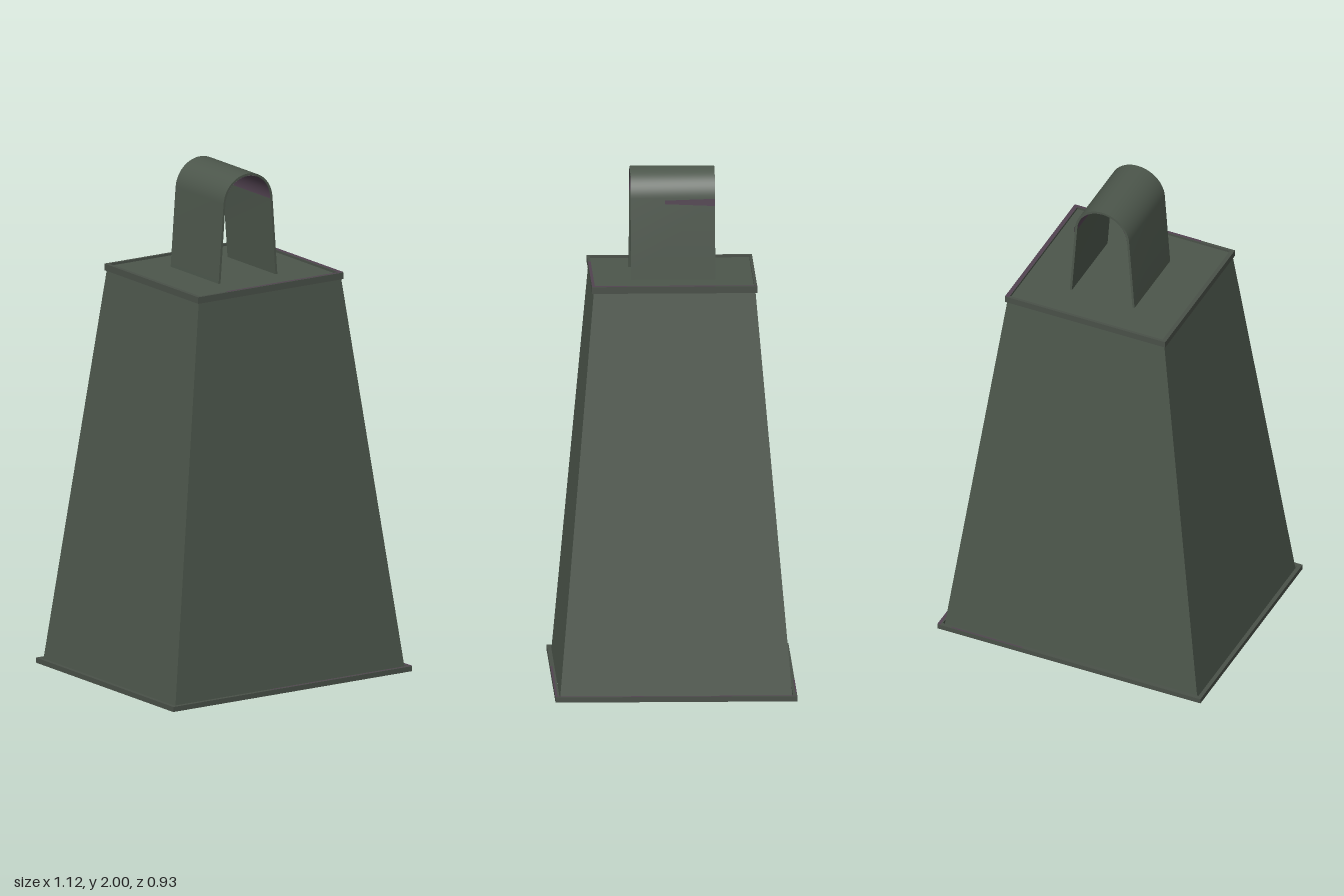
import * as THREE from 'three';
import { toCreasedNormals } from 'three/addons/utils/BufferGeometryUtils.js';

const BOTTOM = { x: 0.538, z: 0.449, y: 0.008 };
const TOP = { x: 0.332, z: 0.311, y: 1.58 };

// Four-sided tapered shell, open at the bottom
function taperedShell(inset, inward) {
  const g = new THREE.BoxGeometry(2, 1, 2);
  const p = g.attributes.position;
  for (let i = 0; i < p.count; i++) {
    const up = p.getY(i) > 0;
    const end = up ? TOP : BOTTOM;
    p.setXYZ(i, p.getX(i) * (end.x - inset), up ? end.y - inset : end.y, p.getZ(i) * (end.z - inset));
  }
  const index = Array.from(g.index.array);
  index.splice(18, 6); // drop the bottom side
  g.setIndex(index);
  g.clearGroups();
  if (inward) g.scale(-1, 1, 1);
  g.computeVertexNormals();
  return g;
}

// Rectangular frame lying flat, from y to y + height
function frame(x, z, wx, wz, y, height) {
  const rect = (path, a, b) => path.moveTo(-a, -b).lineTo(a, -b).lineTo(a, b).lineTo(-a, b).closePath();
  const s = rect(new THREE.Shape(), x, z);
  s.holes.push(rect(new THREE.Path(), x - wx, z - wz));
  const g = new THREE.ExtrudeGeometry(s, { depth: height, bevelEnabled: false });
  return g.rotateX(-Math.PI / 2).translate(0, y, 0);
}

// Arched strap outline with splayed legs
function handleGeometry() {
  const cy = 1.885, outer = 0.115, t = 0.009, n = 28, tilt = 0.075;
  const arch = (r, foot) => {
    const pts = [new THREE.Vector2(foot, 1.578)];
    for (let i = 0; i <= n; i++) {
      const a = tilt + (Math.PI - 2 * tilt) * i / n;
      pts.push(new THREE.Vector2(Math.cos(a) * r, cy + Math.sin(a) * r));
    }
    pts.push(new THREE.Vector2(-foot, 1.578));
    return pts;
  };
  const shape = new THREE.Shape([...arch(outer, 0.138), ...arch(outer - t, 0.129).reverse()]);
  const g = new THREE.ExtrudeGeometry(shape, { depth: 0.326, bevelEnabled: false });
  return toCreasedNormals(g.translate(0, 0, -0.163), 0.5);
}

// Flat four-cornered face
function quad(a, b, c, d) {
  const g = new THREE.BufferGeometry();
  g.setAttribute('position', new THREE.Float32BufferAttribute([...a, ...b, ...c, ...d], 3));
  g.setIndex([0, 1, 2, 0, 2, 3]);
  g.computeVertexNormals();
  return g;
}

export function createModel() {
  const group = new THREE.Group();
  const material = (name, color, side = THREE.FrontSide) => {
    const m = new THREE.MeshStandardMaterial({ color, side });
    m.name = name;
    return m;
  };
  const green = material('greyGreenMetal', 0x4c564b);
  const rimGreen = material('rimMetal', 0x495048);
  const mauve = material('mauveMetal', 0x4e464d, THREE.DoubleSide);
  const violet = material('violetTint', 0x514250, THREE.DoubleSide);
  const plum = material('plumStain', 0x452d4a, THREE.DoubleSide);

  const add = (name, geometry, mat) => {
    const m = new THREE.Mesh(geometry, mat);
    m.name = name;
    group.add(m);
  };

  // Bell walls and lining
  add('bellBody', taperedShell(0, false), green);
  add('bellLining', taperedShell(0.006, true), mauve);

  // Rims around mouth and crown
  add('mouthRim', frame(0.56, 0.467, 0.016, 0.016, 0, 0.02), rimGreen);
  add('crownRim', frame(0.341, 0.319, 0.016, 0.011, 1.563, 0.026), rimGreen);

  // Strap handle with tinted underside of the arch
  add('handle', handleGeometry(), green);
  const under = new THREE.CylinderGeometry(0.105, 0.105, 0.324, 24, 1, true, 0, Math.PI);
  under.rotateX(Math.PI / 2).rotateZ(Math.PI / 2).translate(0, 1.885, 0);
  add('handleUnderside', under, violet);

  // Tinted strips on top of the rims
  const strip = (name, x0, x1, z0, z1, y) =>
    add(name, quad([x0, y, z0], [x0, y, z1], [x1, y, z1], [x1, y, z0]), violet);
  strip('crownRimSideTint', 0.325, 0.341, -0.319, 0.319, 1.5905);
  strip('crownRimFrontTint', -0.2, 0.325, 0.308, 0.319, 1.5905);
  strip('mouthRimSideTint', 0.548, 0.56, -0.467, 0.467, 0.0215);
  strip('mouthRimFrontTint', -0.1, 0.548, 0.459, 0.467, 0.0215);
  strip('mouthRimBackTint', 0.2, 0.5, -0.467, -0.461, 0.0215);

  // Tapering streak on the side of the handle
  add('handleStreak', quad([0.118, 1.872, 0.03], [0.119, 1.864, -0.163],
    [0.117, 1.892, -0.163], [0.1172, 1.886, 0.03]), violet);

  // Dark stain on the front inner wall, following its taper
  const wall = (x, y) => {
    const k = (y - BOTTOM.y) / (TOP.y - BOTTOM.y);
    return [x, y, THREE.MathUtils.lerp(BOTTOM.z, TOP.z, k) - 0.009];
  };
  add('innerStain', quad(wall(0.525, 0.01), wall(0.28, 0.01), wall(-0.315, 1.56), wall(0.322, 1.56)), plum);

  return group;
}
